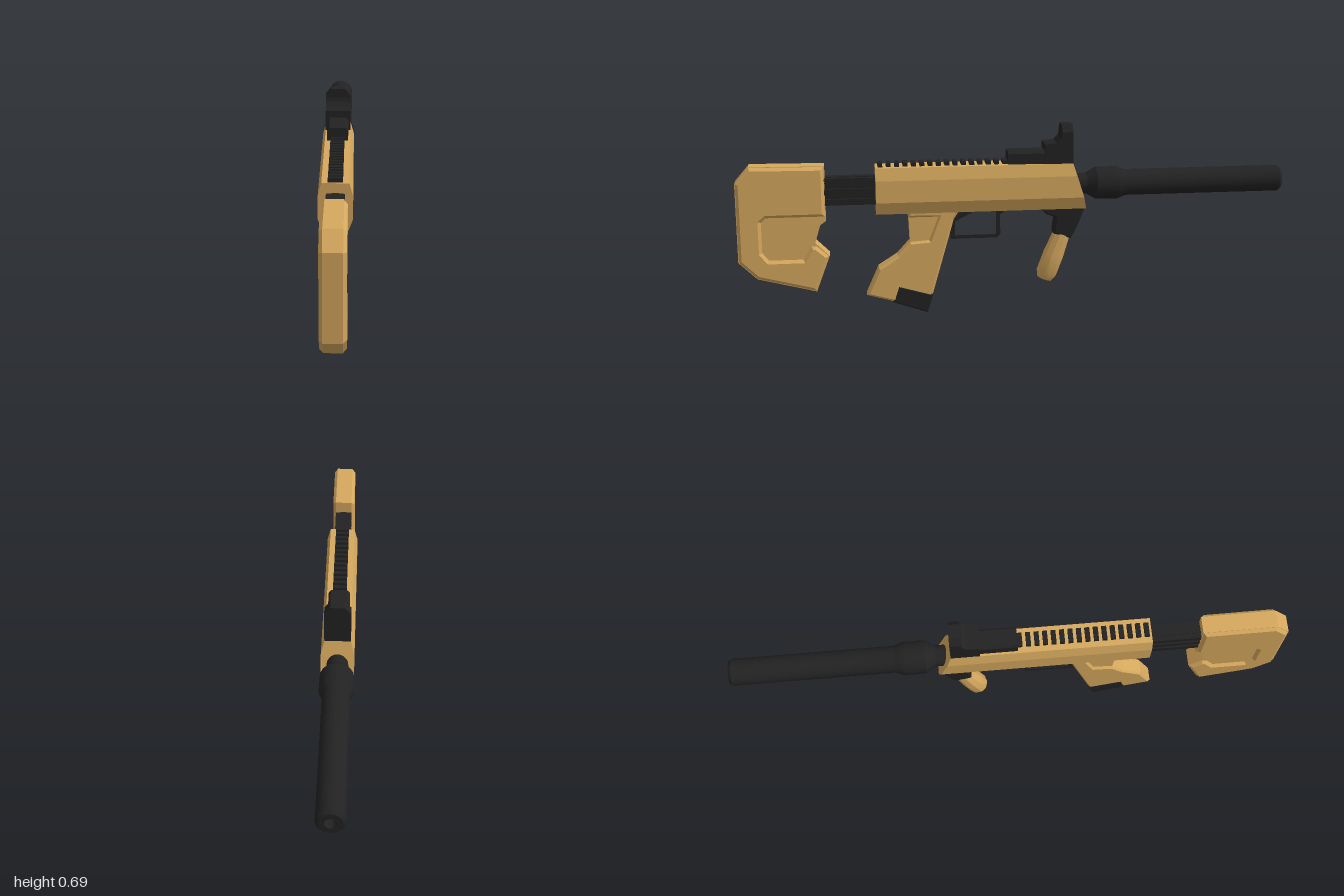
import * as THREE from 'three';
import { toCreasedNormals } from 'three/addons/utils/BufferGeometryUtils.js';

const tan = new THREE.MeshStandardMaterial({ color: 0xd6a85e });
tan.name = 'sand';
const black = new THREE.MeshStandardMaterial({ color: 0x222222 });
black.name = 'black';

const toShape = (pts) => new THREE.Shape(pts.map(([a, b]) => new THREE.Vector2(a, b)));

// Side profile given as [z, y], extruded across x, with chamfered edges kept inside the outline
function slab(pts, half, chamfer = 0, hole = null) {
  const shape = toShape(pts);
  if (hole) shape.holes.push(toShape(hole));
  const depth = 2 * (half - chamfer);
  const g = new THREE.ExtrudeGeometry(shape, {
    depth, bevelEnabled: chamfer > 0, bevelSegments: 1,
    bevelThickness: chamfer, bevelSize: chamfer, bevelOffset: -chamfer,
  });
  g.translate(0, 0, -depth / 2);
  return g.rotateY(-Math.PI / 2);
}

// Cross-section given as [x, y], extruded from z0 to z1
function bar(pts, z0, z1) {
  const g = new THREE.ExtrudeGeometry(toShape(pts), { depth: z1 - z0, bevelEnabled: false });
  return g.translate(0, 0, z0);
}

const mirrorX = (half) => [...half, ...half.map(([x, y]) => [-x, y]).reverse()];

function lathe(pts, sides) {
  const g = new THREE.LatheGeometry(pts.map(([r, y]) => new THREE.Vector2(r, y)), sides);
  return toCreasedNormals(g, 0.45);
}

export function createModel() {
  const model = new THREE.Group();
  const add = (name, geometry, material, parent = model) => {
    const mesh = new THREE.Mesh(geometry, material);
    mesh.name = name;
    parent.add(mesh);
    return mesh;
  };
  const box = (w, h, d, x, y, z) => new THREE.BoxGeometry(w, h, d).translate(x, y, z);

  // Stock: a full core between side cheeks that have a sunken channel
  const stockRear = [[0.685, 0.56], [0.95, 0.563], [1, 0.505], [1, 0.215], [0.935, 0.152], [0.725, 0.098]];
  const stockFront = [[0.675, 0.23], [0.725, 0.28], [0.705, 0.345], [0.685, 0.36]];
  add('stockCore', slab([...stockRear, ...stockFront], 0.031), tan);
  const channel = [[0.74, 0.27], [0.77, 0.222], [0.89, 0.222], [0.912, 0.25], [0.912, 0.36], [0.895, 0.375], [0.685, 0.375]];
  add('stockCheeks', slab([...stockRear, [0.675, 0.23], [0.72, 0.27], ...channel], 0.042, 0.013), tan);

  // Ribbed tube joining stock and body
  const tube = new THREE.Group();
  tube.name = 'stockTube';
  model.add(tube);
  add('tubeCore', box(0.044, 0.09, 0.22, 0, 0.465, 0.595), black, tube);
  for (const y of [0.427, 0.465, 0.503]) {
    add('tubeRib', box(0.062, 0.022, 0.22, 0, y, 0.595), black, tube);
  }
  add('tubeRidge', box(0.024, 0.104, 0.22, 0, 0.465, 0.595), black, tube);

  // Body with a slanted nose
  const section = mirrorX([[0.041, 0.38], [0.058, 0.425], [0.058, 0.505], [0.046, 0.55]]);
  const body = bar(section, -0.21, 0.505);
  const p = body.attributes.position;
  for (let i = 0; i < p.count; i++) {
    if (p.getZ(i) < 0) p.setZ(i, -0.21 - 0.05 * Math.min(1, (0.55 - p.getY(i)) / 0.155));
  }
  body.computeVertexNormals();
  add('body', body, tan);

  // Toothed rail
  const rail = new THREE.Group();
  rail.name = 'topRail';
  model.add(rail);
  for (let i = 0; i < 16; i++) {
    add('railTooth', box(0.05, 0.018, 0.017, 0, 0.555, 0.487 - i * 0.03), black, rail);
  }

  // Sight: base, stepped block and upright hood
  const sight = new THREE.Group();
  sight.name = 'sight';
  model.add(sight);
  add('sightBase', bar(mirrorX([[0.038, 0.548], [0.038, 0.588], [0.03, 0.597]]), -0.2, 0.027), black, sight);
  add('sightBlock', slab([[-0.21, 0.548], [-0.107, 0.548], [-0.107, 0.622], [-0.15, 0.625],
    [-0.166, 0.642], [-0.171, 0.66], [-0.21, 0.66]], 0.046), black, sight);
  add('sightHood', bar(mirrorX([[0.046, 0.6], [0.046, 0.665], [0.025, 0.69]]), -0.21, -0.17), black, sight);

  // Barrel collar and long muzzle tube with an open bore
  const muzzle = lathe([[0, 0.2], [0.038, 0.2], [0.038, 0.265], [0.059, 0.3], [0.06, 0.38], [0.048, 0.41],
    [0.048, 0.99], [0.04, 1], [0.02, 1], [0.02, 0.96], [0, 0.96]], 20);
  add('muzzle', muzzle.rotateX(-Math.PI / 2).translate(0, 0.466, 0), black);

  // Pistol grip with a sunken thumb area near the top
  const gripLower = [[0.545, 0.075], [0.45, 0.048], [0.32, 0.03], [0.305, 0.07], [0.225, 0.35], [0.2, 0.39]];
  add('gripCore', slab([[0.39, 0.39], [0.385, 0.27], [0.43, 0.22], [0.5, 0.175], ...gripLower], 0.023), tan);
  add('gripSides', slab([[0.39, 0.39], [0.39, 0.362], [0.28, 0.362], [0.315, 0.275], [0.385, 0.27],
    [0.43, 0.22], [0.5, 0.175], ...gripLower], 0.032, 0.008), tan);
  add('gripCap', slab([[0.43, 0.107], [0.45, 0.045], [0.325, 0.002], [0.303, 0.07]], 0.034, 0.005), black);

  // Trigger guard
  add('triggerGuard', slab(
    [[0.165, 0.385], [0.235, 0.35], [0.235, 0.275], [0.067, 0.275], [0.054, 0.288], [0.054, 0.362], [0.02, 0.385]],
    0.018, 0,
    [[0.15, 0.376], [0.22, 0.34], [0.22, 0.288], [0.073, 0.288], [0.069, 0.294], [0.069, 0.376]]), black);

  // Slanted front grip on its mount
  add('frontGripMount', slab([[-0.09, 0.385], [-0.26, 0.385], [-0.235, 0.32], [-0.207, 0.265], [-0.142, 0.285],
    [-0.15, 0.345], [-0.115, 0.36]], 0.032, 0.006), black);
  const frontGrip = add('frontGrip', lathe([[0, 0], [0.028, 0], [0.039, 0.025], [0.039, 0.1],
    [0.032, 0.19], [0, 0.19]], 10), tan);
  frontGrip.position.set(0, 0.108, -0.112);
  frontGrip.rotation.x = -0.36;

  return model;
}
